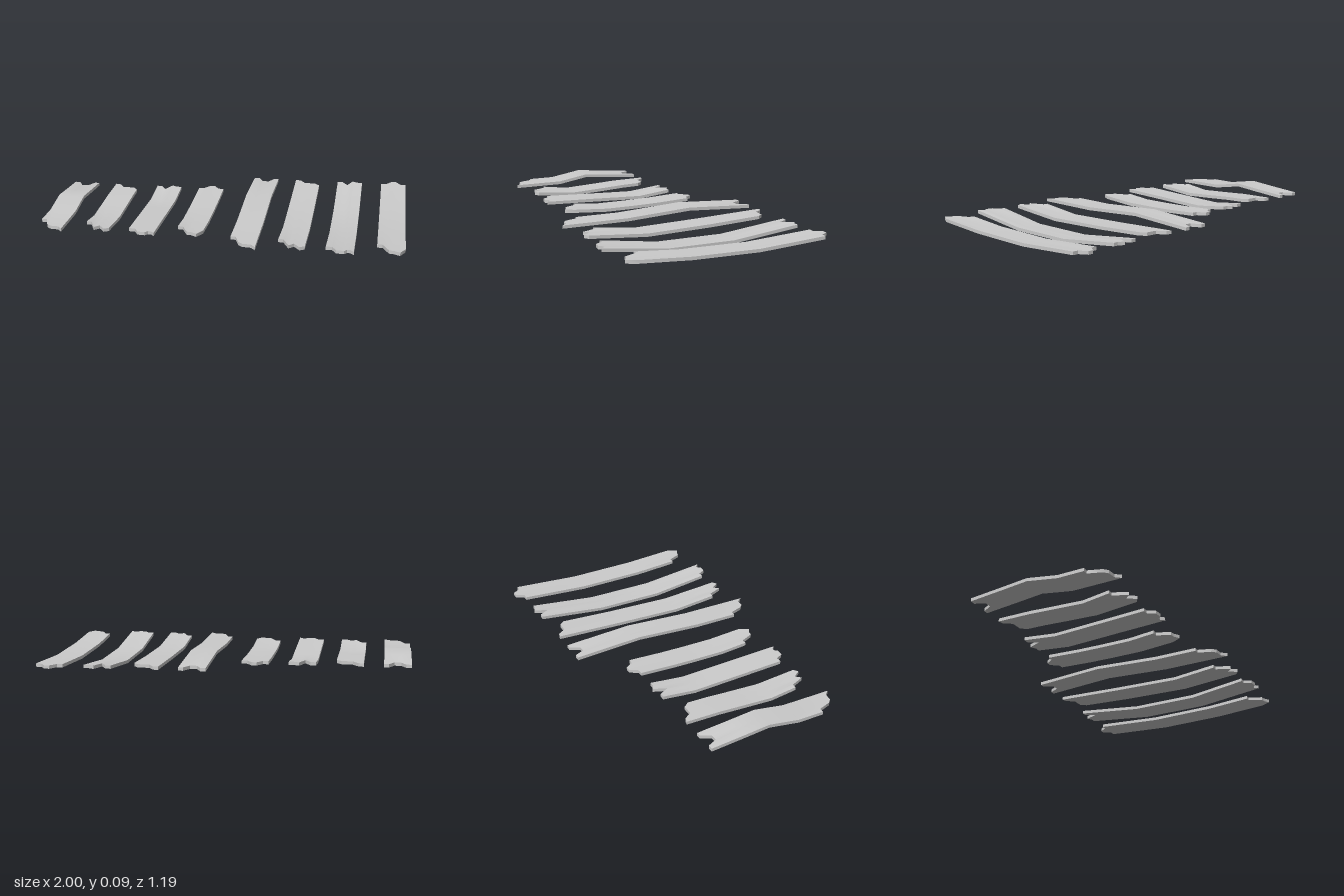
import * as THREE from 'three';
import { toCreasedNormals } from 'three/addons/utils/BufferGeometryUtils.js';

const WIDTH = 0.148, THICK = 0.018, REST = 0.043;

// Broken-end outlines: [fraction of width, z]
const ENDS = [
  { back: [[0, -0.315], [0.2, -0.315], [0.38, -0.26], [0.63, -0.26], [0.82, -0.315], [1, -0.315]],
    front: [[0, 0.35], [0.19, 0.35], [0.36, 0.425], [0.52, 0.447], [0.83, 0.452], [1, 0.483]] },
  { back: [[0, -0.315], [0.2, -0.307], [0.4, -0.262], [0.82, -0.26], [1, -0.228]],
    front: [[0, 0.35], [0.18, 0.35], [0.42, 0.432], [0.6, 0.404], [0.82, 0.45], [1, 0.433]] },
  { back: [[0, -0.315], [0.2, -0.315], [0.41, -0.26], [0.61, -0.333], [0.81, -0.315], [1, -0.315]],
    front: [[0, 0.42], [0.22, 0.42], [0.38, 0.463], [0.66, 0.468], [0.76, 0.45], [0.86, 0.45], [1, 0.472]] },
  { back: [[0, -0.315], [0.21, -0.315], [0.41, -0.36], [0.6, -0.36], [0.79, -0.315], [1, -0.315]],
    front: [[0, 0.35], [0.19, 0.35], [0.42, 0.425], [0.6, 0.43], [0.81, 0.45], [1, 0.395]] },
];

// Each plank: left edge x, end style, and [z, underside height] of its bends, back to front
const PLANKS = [
  { x: -1, end: 0, bends: [[-0.12, 0.06], [0.02, 0.073], [0.2, REST]] },
  { x: -0.744, end: 1, bends: [[-0.12, 0.04], [0.02, 0.032], [0.2, 0.023]] },
  { x: -0.488, end: 2, bends: [[-0.12, 0.022], [0.02, 0.027], [0.2, 0.034]] },
  { x: -0.231, end: 3, bends: [[-0.12, 0.034], [0.02, 0.031], [0.2, 0.03]] },
  { x: 0.076, end: 0, long: true, bends: [[-0.17, 0.065], [0.21, REST]] },
  { x: 0.332, end: 1, long: true, bends: [[-0.17, 0.028], [0.21, 0.017]] },
  { x: 0.588, end: 2, long: true, bends: [[-0.17, 0], [0.21, 0]] },
  { x: 0.852, end: 3, long: true, bends: [[-0.17, 0.02], [0.21, 0.025]] },
];

function sample(outline, t) {
  for (let i = 1; i < outline.length; i++) {
    const [t0, z0] = outline[i - 1], [t1, z1] = outline[i];
    if (t <= t1) return z0 + (z1 - z0) * (t - t0) / (t1 - t0);
  }
  return outline[outline.length - 1][1];
}

function plankGeometry({ x, end, long, bends }) {
  const { back, front } = ENDS[end];
  const stops = [...new Set([...back, ...front].map(p => p[0]))].sort((a, b) => a - b);
  // columns run across the width, each from the back end to the front end
  const cols = stops.map(t => [
    [sample(back, t) - (long ? 0.24 : 0), REST],
    ...bends,
    [sample(front, t) + (long ? 0.11 : 0), REST],
  ].map(([z, y]) => [x + t * WIDTH, y, z]));
  const up = p => [p[0], p[1] + THICK, p[2]];
  const pos = [];
  const quad = (a, b, c, d) => pos.push(...a, ...b, ...c, ...a, ...c, ...d);

  // top and underside
  const rows = cols[0].length;
  for (let i = 0; i < cols.length - 1; i++) {
    for (let j = 0; j < rows - 1; j++) {
      const a = cols[i][j], b = cols[i][j + 1], c = cols[i + 1][j + 1], d = cols[i + 1][j];
      quad(up(a), up(b), up(c), up(d));
      quad(a, d, c, b);
    }
  }
  // walls around the rim
  const rim = [
    ...cols[0],
    ...cols.slice(1, -1).map(c => c[rows - 1]),
    ...[...cols[cols.length - 1]].reverse(),
    ...cols.slice(1, -1).reverse().map(c => c[0]),
  ];
  rim.forEach((p, i) => {
    const q = rim[(i + 1) % rim.length];
    quad(up(p), p, q, up(q));
  });

  const geo = new THREE.BufferGeometry();
  geo.setAttribute('position', new THREE.Float32BufferAttribute(pos, 3));
  return toCreasedNormals(geo, 0.6);
}

export function createModel() {
  const group = new THREE.Group();
  group.name = 'brokenPlanks';
  const wood = new THREE.MeshStandardMaterial({ color: 0xcccccc });
  PLANKS.forEach((plank, i) => {
    const mesh = new THREE.Mesh(plankGeometry(plank), wood);
    mesh.name = `${plank.long ? 'long' : 'short'}Plank${i % 4 + 1}`;
    group.add(mesh);
  });
  return group;
}
